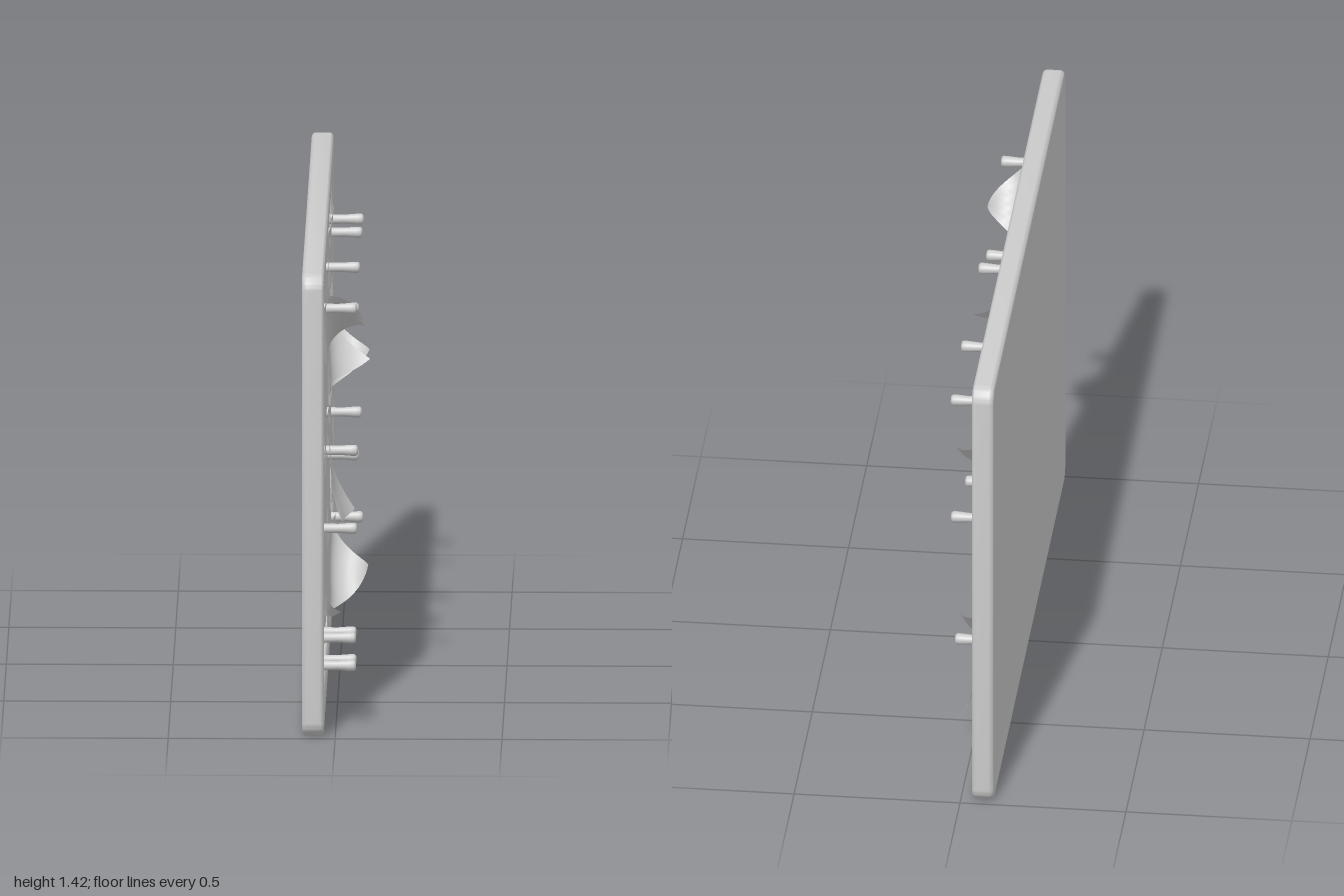
import * as THREE from 'three';
import { toCreasedNormals } from 'three/addons/utils/BufferGeometryUtils.js';

const clay = new THREE.MeshStandardMaterial({ color: 0xcccccc, side: THREE.DoubleSide });
clay.name = 'pale grey';

const PANEL = -0.046; // front surface of the recessed panel
const W = 2, H = 1.42;

function roundedRect(path, x0, y0, x1, y1, r) {
  path.moveTo(x0 + r, y0);
  path.lineTo(x1 - r, y0);
  path.absarc(x1 - r, y0 + r, r, -Math.PI / 2, 0);
  path.lineTo(x1, y1 - r);
  path.absarc(x1 - r, y1 - r, r, 0, Math.PI / 2);
  path.lineTo(x0 + r, y1);
  path.absarc(x0 + r, y1 - r, r, Math.PI / 2, Math.PI);
  path.lineTo(x0, y0 + r);
  path.absarc(x0 + r, y0 + r, r, Math.PI, Math.PI * 1.5);
  return path;
}

function add(group, name, geometry) {
  const mesh = new THREE.Mesh(geometry, clay);
  mesh.name = name;
  group.add(mesh);
  return mesh;
}

// A four-cornered sheet (TL, TR, BR, BL). Corners may roll up round a cylinder,
// and the free lower edge may swing away from the board.
function sheet({ c, level = 0.012, curl, lift = 0, side = 0 }) {
  const n = 28;
  const geo = new THREE.PlaneGeometry(1, 1, n, n);
  const pos = geo.attributes.position;
  const [tl, tr, br, bl] = c.map((p) => new THREE.Vector2(...p));
  const top = new THREE.Vector2(), low = new THREE.Vector2();
  const centre = tl.clone().add(tr).add(br).add(bl).multiplyScalar(0.25);
  for (let i = 0; i < pos.count; i++) {
    const u = pos.getX(i) + 0.5, t = 0.5 - pos.getY(i);
    top.lerpVectors(tl, tr, u);
    low.lerpVectors(bl, br, u);
    const p = top.clone().lerp(low, t);
    // gentle ripples along the edges
    const edge = Math.max(Math.abs(u - 0.5), Math.abs(t - 0.5)) * 2;
    let z = PANEL + level + 0.004 * edge ** 4 * Math.sin(p.x * 23 + p.y * 19);
    z += lift * t * t * (1 - side + side * u);
    if (curl) {
      const corner = [tl, tr, br, bl][curl.at];
      const out = corner.clone().sub(centre);
      out.set(Math.sign(out.x), Math.sign(out.y)).normalize();
      const s = p.clone().sub(corner).dot(out) + curl.d;
      if (s > 0) {
        const a = s / curl.r;
        p.addScaledVector(out, curl.r * Math.sin(a) - s);
        z += curl.r * (1 - Math.cos(a));
      }
    }
    pos.setXYZ(i, p.x, p.y, z);
  }
  geo.computeVertexNormals();
  return geo;
}

export function createModel() {
  const model = new THREE.Group();
  model.name = 'pinboard';

  // Everything is laid out facing +z, then turned to face +x
  const board = new THREE.Group();
  board.name = 'board';
  board.rotation.y = Math.PI / 2;
  model.add(board);

  // Rounded frame
  const b = 0.014;
  const frame = roundedRect(new THREE.Shape(), -W / 2 + b, b, W / 2 - b, H - b, 0.035);
  frame.holes.push(roundedRect(new THREE.Path(), -0.935, 0.075, 0.935, H - 0.075, 0.012));
  const frameGeo = new THREE.ExtrudeGeometry(frame, {
    depth: 0.066 - 2 * b, bevelSize: b, bevelThickness: b, bevelSegments: 4, curveSegments: 6,
  });
  frameGeo.translate(0, 0, -0.1 + b);
  add(board, 'frame', toCreasedNormals(frameGeo, 0.7));

  // Recessed panel and flat back
  const panelGeo = new THREE.BoxGeometry(1.92, H - 0.08, PANEL + 0.1);
  panelGeo.translate(0, H / 2, (PANEL - 0.1) / 2);
  add(board, 'panel', panelGeo);

  // Pinned papers
  const papers = [
    { name: 'tallPaper', c: [[-0.9, 1.28], [-0.45, 1.28], [-0.45, 0.63], [-0.88, 0.625]], curl: { at: 1, d: 0.175, r: 0.06 } },
    { name: 'upperPaper', c: [[-0.11, 1.265], [0.49, 1.275], [0.48, 0.79], [-0.105, 0.79]], curl: { at: 2, d: 0.16, r: 0.06 } },
    { name: 'lowerPaper', c: [[-0.33, 0.75], [0.375, 0.755], [0.38, 0.135], [-0.335, 0.125]], curl: { at: 2, d: 0.175, r: 0.06 } },
    { name: 'cornerPaper', c: [[0.6, 1.235], [0.85, 1.265], [0.885, 0.93], [0.64, 0.89]] },
    { name: 'sidePaper', c: [[0.52, 0.84], [0.875, 0.84], [0.84, 0.41], [0.49, 0.385]] },
  ];
  // Small notes
  const notes = [
    { name: 'curledNote', c: [[-0.39, 1.19], [-0.165, 1.19], [-0.165, 0.94], [-0.37, 0.95]], curl: { at: 2, d: 0.16, r: 0.09 }, lift: 0.015 },
    { name: 'overlappingNote', c: [[-0.575, 0.79], [-0.385, 0.79], [-0.385, 0.57], [-0.575, 0.57]], level: 0.022, lift: 0.07, side: 0.4 },
    { name: 'leftNote', c: [[-0.73, 0.575], [-0.49, 0.565], [-0.47, 0.29], [-0.72, 0.3]], curl: { at: 3, d: 0.06, r: 0.03 } },
    { name: 'frontNote', c: [[0.5, 0.34], [0.675, 0.335], [0.67, 0.11], [0.49, 0.145]], level: 0.022, lift: 0.06, side: 0.8 },
    { name: 'rearNote', c: [[0.58, 0.31], [0.75, 0.31], [0.74, 0.11], [0.55, 0.09]], lift: 0.012 },
  ];
  for (const p of [...papers, ...notes]) add(board, p.name, sheet(p));

  // Push pins: slightly waisted pegs with a rounded head
  const pinGeo = new THREE.LatheGeometry(
    [[0, 0], [0.015, 0], [0.014, 0.05], [0.017, 0.088], [0.017, 0.1], [0.013, 0.106], [0, 0.107]]
      .map((q) => new THREE.Vector2(...q)), 14);
  pinGeo.rotateX(Math.PI / 2);
  const pins = [
    [-0.69, 1.252], [-0.28, 1.16], [-0.065, 1.237], [0.41, 1.237], [0.695, 1.213], [0.69, 0.808],
    [-0.485, 0.77], [-0.28, 0.71], [0.3, 0.71], [-0.63, 0.563], [0.58, 0.325],
    [-0.865, 0.28], [-0.785, 0.28], [-0.865, 0.195], [-0.785, 0.195],
  ];
  for (const [u, y] of pins) add(board, 'pushPin', pinGeo).position.set(u, y, PANEL);

  return model;
}
